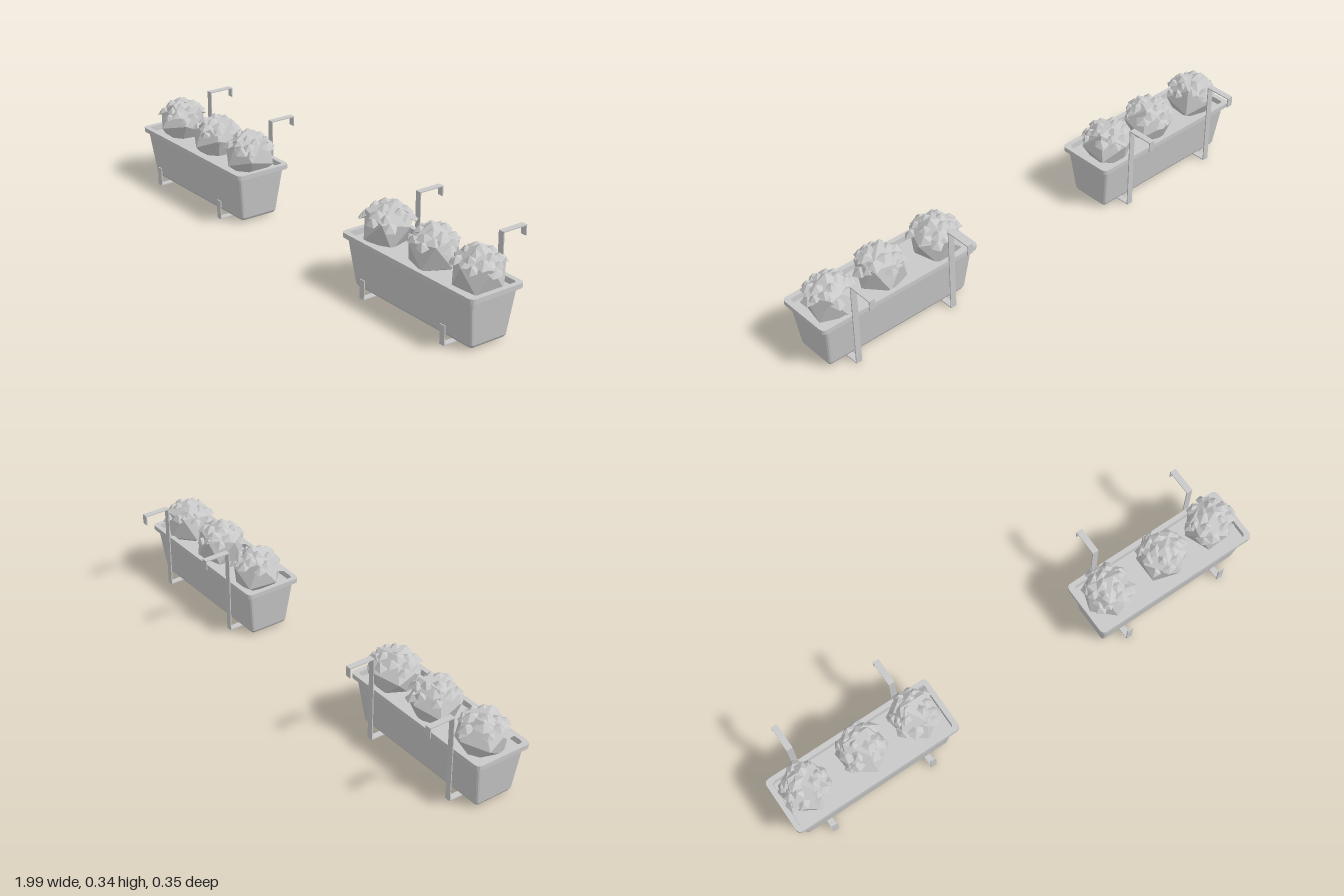
import * as THREE from 'three';
import { mergeGeometries } from 'three/addons/utils/BufferGeometryUtils.js';

const grey = new THREE.MeshStandardMaterial({ color: 0xc8c8c8, flatShading: true });
grey.name = 'plain grey';

function seeded(seed) {
  let s = seed * 7919 + 17;
  return () => (s = (s * 16807) % 2147483647) / 2147483647;
}

function part(name, geometry) {
  const mesh = new THREE.Mesh(geometry, grey);
  mesh.name = name;
  return mesh;
}

// Tapered trough with a rim and a soil surface, lofted from rounded rectangles
function troughGeometry() {
  // half width, half depth, height, corner radius
  const rings = [
    [0, 0, 0.008, 0], [0.3, 0.074, 0.008, 0.01], [0.306, 0.08, 0.018, 0.012],
    [0.325, 0.103, 0.19, 0.014], [0.342, 0.115, 0.19, 0.018], [0.342, 0.115, 0.208, 0.018],
    [0.322, 0.096, 0.208, 0.01], [0.32, 0.094, 0.187, 0.01], [0, 0, 0.187, 0],
  ];
  const steps = 3, n = 4 * (steps + 1), pos = [], index = [];
  rings.forEach(([hx, hz, y, r]) => {
    for (let q = 0; q < 4; q++) {
      const sx = q === 0 || q === 3 ? 1 : -1, sz = q < 2 ? -1 : 1;
      for (let j = 0; j <= steps; j++) {
        const a = (q + j / steps) * Math.PI / 2;
        pos.push(sx * (hx - r) + r * Math.cos(a), y, sz * (hz - r) - r * Math.sin(a));
      }
    }
  });
  for (let k = 0; k < rings.length - 1; k++) {
    for (let i = 0; i < n; i++) {
      const a = k * n + i, b = k * n + (i + 1) % n;
      if (k > 0) index.push(a, b, b + n);
      if (k < rings.length - 2) index.push(a, b + n, a + n);
      else index.push(a, b, a + n);
      if (k === 0) index.push(a, b + n, a + n);
    }
  }
  const g = new THREE.BufferGeometry();
  g.setAttribute('position', new THREE.Float32BufferAttribute(pos, 3));
  g.setIndex(index);
  g.computeVertexNormals();
  return g;
}

// Flat strap bent into a hook at the back and a lip at the front
function hanger(x) {
  const group = new THREE.Group();
  group.name = 'hanger';
  const path = [[0.173, 0.071], [0.173, 0.002], [-0.071, 0.002], [-0.071, 0.34], [-0.171, 0.34], [-0.171, 0.305]];
  const t = 0.004;
  for (let i = 0; i < path.length - 1; i++) {
    const [z0, y0] = path[i], [z1, y1] = path[i + 1];
    const strap = part('strap', new THREE.BoxGeometry(0.024, Math.abs(y1 - y0) + t, Math.abs(z1 - z0) + t));
    strap.position.set(x, (y0 + y1) / 2, (z0 + z1) / 2);
    group.add(strap);
  }
  return group;
}

// Faceted ball of foliage with pointed leaf tufts over its upper half
function bush(seed) {
  const rand = seeded(seed);
  const group = new THREE.Group();
  group.name = 'bush';
  const ball = new THREE.IcosahedronGeometry(0.1, 0);
  ball.rotateX(rand() * 3).rotateY(rand() * 6);
  group.add(part('foliage', ball));

  const tufts = [], count = 18, up = new THREE.Vector3(0, 1, 0);
  for (let i = 0; i < count; i++) {
    const h = 0.3 + 0.68 * (i + rand() * 0.6) / count;
    const a = i * 2.4 + rand() * 0.6, w = Math.sqrt(1 - h * h);
    const dir = new THREE.Vector3(w * Math.cos(a), h, w * Math.sin(a));
    const r = 0.02 + rand() * 0.012;
    const tuft = new THREE.LatheGeometry(
      [new THREE.Vector2(0, -0.01), new THREE.Vector2(r, 0), new THREE.Vector2(0, 0.017)], 5);
    tuft.scale(1.15, 1, 0.9).rotateY(rand() * 6);
    const lean = dir.clone().lerp(up, 0.6).normalize();
    tuft.applyQuaternion(new THREE.Quaternion().setFromUnitVectors(up, lean));
    tuft.translate(dir.x * 0.085, dir.y * 0.08, dir.z * 0.085);
    tufts.push(tuft);
  }
  group.add(part('leafTufts', mergeGeometries(tufts)));
  return group;
}

export function createModel() {
  const model = new THREE.Group();
  model.name = 'hangingPlanters';
  const trough = troughGeometry();
  const layouts = [
    { x: -0.657, bushes: [[-0.233, 0.045], [0.005, 0.042], [0.226, 0.04]] },
    { x: 0.651, bushes: [[-0.236, 0.045], [0.01, 0.045], [0.231, 0.04]] },
  ];
  layouts.forEach(({ x, bushes }, side) => {
    const planter = new THREE.Group();
    planter.name = side ? 'leftPlanter' : 'rightPlanter';
    planter.position.x = x;
    const box = part('trough', trough);
    box.position.z = 0.052;
    planter.add(box, hanger(-0.212), hanger(0.212));
    bushes.forEach(([bx, bz], i) => {
      const plant = bush(side * 3 + i + 1);
      plant.position.set(bx, 0.237, bz);
      planter.add(plant);
    });
    model.add(planter);
  });
  return model;
}
